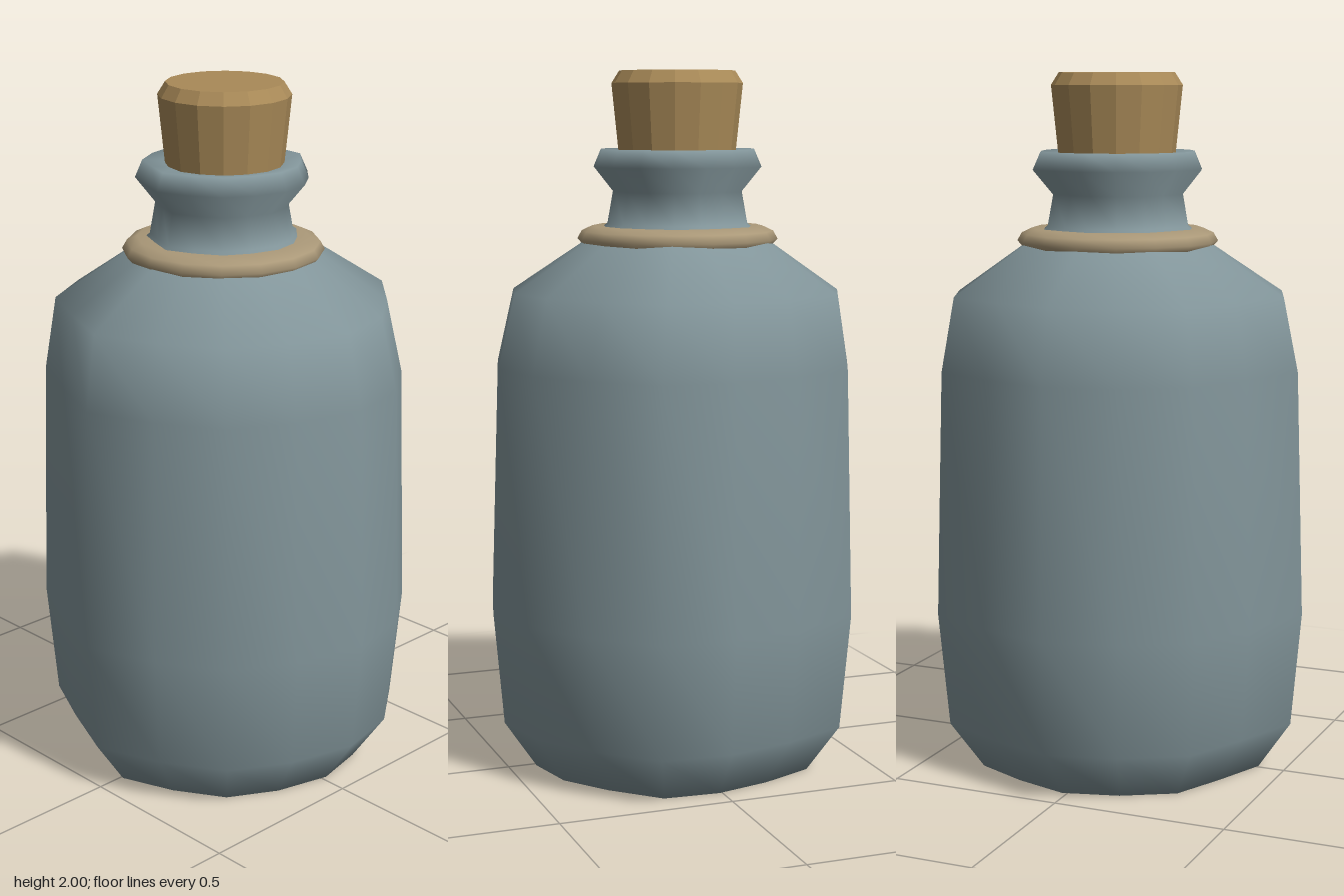
import * as THREE from 'three';

const glass = new THREE.MeshStandardMaterial({ name: 'blueGreyGlass', color: 0x82959a });
const corkWood = new THREE.MeshStandardMaterial({ name: 'corkBrown', color: 0xa98a58 });
const twine = new THREE.MeshStandardMaterial({ name: 'twineTan', color: 0xaa9878 });

// Uneven sixteen-sided outline of the bottle, as [x, z] from the back round by +x
const OUTLINE = [
  [0.01, -0.55], [0.22, -0.535], [0.38, -0.38], [0.5, -0.22],
  [0.545, -0.02], [0.49, 0.185], [0.39, 0.36], [0.21, 0.47],
  [0.01, 0.545], [-0.195, 0.46], [-0.385, 0.37], [-0.49, 0.185],
  [-0.545, -0.02], [-0.485, -0.22], [-0.395, -0.415], [-0.195, -0.5],
];

// Rings of the outline as [y, scale, x offset, z offset]
const RINGS = [
  [0, 0, 0, 0],
  [0, 0.77, 0, 0],
  [0.14, 0.945, 0, 0],
  [0.47, 1, 0, 0],
  [1.17, 0.96, -0.003, 0],
  [1.38, 0.885, -0.012, 0],
  [1.52, 0.5, -0.016, -0.01],
  [1.57, 0.38, -0.018, -0.01],
  [1.66, 0.35, -0.018, -0.01],
  [1.73, 0.455, -0.018, -0.01],
  [1.78, 0.415, -0.018, -0.01],
  [1.77, 0.27, -0.016, -0.015],
];

// Joins the rings into one smooth skin
function bottleGeometry() {
  const n = OUTLINE.length;
  const positions = [];
  const index = [];
  for (const [y, s, ox, oz] of RINGS) {
    for (const [x, z] of OUTLINE) positions.push(x * s + ox, y, z * s + oz);
  }
  for (let i = 0; i < RINGS.length - 1; i++) {
    for (let j = 0; j < n; j++) {
      const a = i * n + j;
      const b = i * n + ((j + 1) % n);
      if (i > 0) index.push(a, b + n, b);
      index.push(a, a + n, b + n);
    }
  }
  const geometry = new THREE.BufferGeometry();
  geometry.setAttribute('position', new THREE.Float32BufferAttribute(positions, 3));
  geometry.setIndex(index);
  geometry.computeVertexNormals();
  return geometry;
}

// Sixteen-sided turned part
function turned(points) {
  return new THREE.LatheGeometry(points.map(([r, y]) => new THREE.Vector2(r, y)), 16);
}

// Unshared vertices give each facet its own normal
function faceted(geometry) {
  const flat = geometry.toNonIndexed();
  flat.computeVertexNormals();
  return flat;
}

export function createModel() {
  const group = new THREE.Group();
  group.name = 'corkedBottle';
  const add = (name, geometry, material, x = 0, z = 0) => {
    const mesh = new THREE.Mesh(geometry, material);
    mesh.name = name;
    mesh.position.set(x, 0, z);
    group.add(mesh);
  };

  add('bottle', bottleGeometry(), glass);

  // Band lying on the shoulder round the foot of the neck
  add('neckBand', turned([
    [0.18, 1.5], [0.27, 1.505], [0.288, 1.525], [0.275, 1.548], [0.245, 1.562], [0.18, 1.562],
  ]), twine, -0.017, -0.017);

  // Stopper, slightly wider at the top with a bevelled rim
  add('cork', faceted(turned([
    [0, 1.7], [0.16, 1.7], [0.187, 1.965], [0.165, 2], [0, 2],
  ])), corkWood, -0.015, -0.02);

  return group;
}
